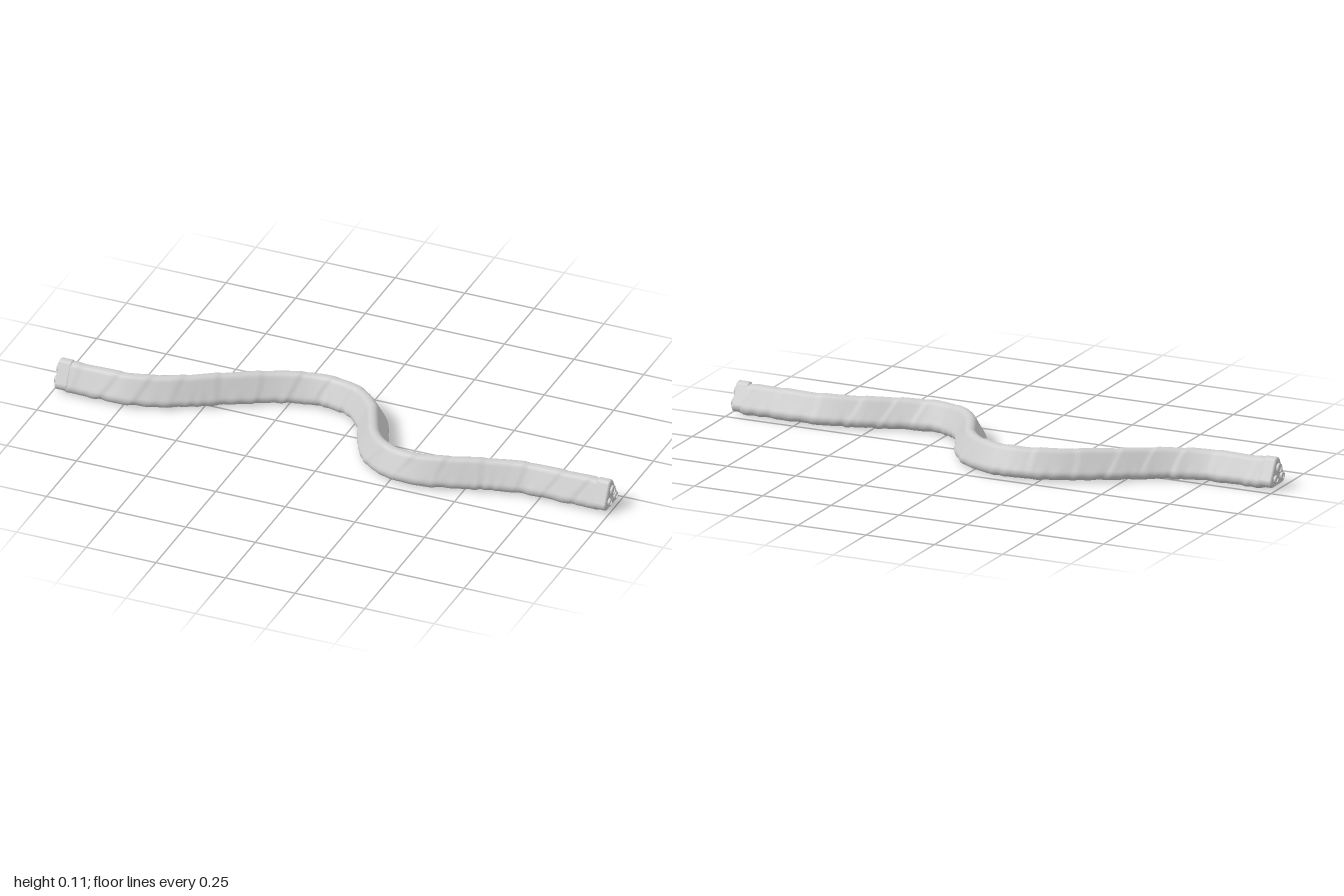
import * as THREE from 'three';

const grey = new THREE.MeshStandardMaterial({ color: 0xcccccc });

// Rounded triangle: half base b, height of the lower and upper corner centres, corner radius r
function roundedTriangle(b, low, high, r) {
  const a = Math.atan2(b, high - low);
  const shape = new THREE.Shape();
  shape.absarc(b, low, r, -Math.PI / 2, a, false);
  shape.absarc(0, high, r, a, Math.PI - a, false);
  shape.absarc(-b, low, r, Math.PI - a, Math.PI * 1.5, false);
  shape.closePath();
  return shape;
}

// S-shaped centre line, as x and z
const path = new THREE.CatmullRomCurve3([
  [-0.98, 0.072], [-0.86, 0.072], [-0.74, 0.068], [-0.61, 0.028], [-0.45, -0.06],
  [-0.28, -0.145], [-0.14, -0.176], [-0.02, -0.15], [0.06, -0.08], [0.1, 0],
  [0.14, 0.08], [0.2, 0.14], [0.3, 0.17], [0.41, 0.153], [0.54, 0.112],
  [0.68, 0.08], [0.82, 0.077], [0.98, 0.077],
].map(([x, z]) => new THREE.Vector3(x, 0, z)));

// Overlapping helical cloth wrap swept along the centre line
function wrapGeometry() {
  const rings = 440, sides = 60, turns = 18, midY = 0.053;
  const profile = roundedTriangle(0.031, 0.03, 0.086, 0.021).getSpacedPoints(sides);
  const positions = [], index = [];
  for (let i = 0; i <= rings; i++) {
    const s = i / rings;
    const p = path.getPointAt(s), t = path.getTangentAt(s);
    const end = Math.min(1, Math.min(s, 1 - s) / 0.014);
    for (let j = 0; j < sides; j++) {
      const a = (j / sides) * Math.PI * 2;
      // each turn rises slowly, then drops at its edge
      const phase = s * turns + j / sides + 0.15 * Math.sin(a + s * 23);
      const f = phase - Math.floor(phase);
      const ledge = f < 0.86 ? f / 0.86 : (1 - f) / 0.14;
      // folds are strongest along the underside
      const under = THREE.MathUtils.clamp((0.07 - profile[j].y) / 0.05, 0.1, 1);
      const fold = under * Math.sin(s * 260 + 2 * a + 3 * Math.sin(s * 31)) * Math.sin(s * 47 + a);
      const k = (1 + 0.05 * (ledge - 0.4) + 0.022 * fold) * (0.8 + 0.2 * end);
      const u = profile[j].x * k, v = midY + (profile[j].y - midY) * k;
      positions.push(p.x + t.z * u, v, p.z - t.x * u);
      if (i < rings) {
        const j2 = (j + 1) % sides;
        const a0 = i * sides + j, b0 = i * sides + j2;
        index.push(a0, b0, b0 + sides, a0, b0 + sides, a0 + sides);
      }
    }
  }
  const g = new THREE.BufferGeometry();
  g.setAttribute('position', new THREE.Float32BufferAttribute(positions, 3));
  g.setIndex(index);
  g.computeVertexNormals();
  return g;
}

// Bevelled triangular end cap with three ringed sockets, facing local +z
function endCap(name) {
  const cap = new THREE.Group();
  cap.name = name;
  const add = (part, geometry, x, y, z) => {
    const mesh = new THREE.Mesh(geometry, grey);
    mesh.name = part;
    mesh.position.set(x, y, z);
    cap.add(mesh);
  };
  const bevel = 0.007;
  add('capBody', new THREE.ExtrudeGeometry(roundedTriangle(0.034, 0.034, 0.093, 0.019), {
    depth: 0.034, bevelEnabled: true, bevelThickness: bevel, bevelSize: bevel,
    bevelOffset: -bevel, bevelSegments: 3, curveSegments: 10,
  }), 0, 0, 0.951);
  for (const [x, y, r] of [[0, 0.075, 0.016], [-0.024, 0.042, 0.013], [0.024, 0.042, 0.013]]) {
    // collar profile: outer wall, flat rim, inner wall
    const collar = [[r, 0], [r, 0.006], [r - 0.001, 0.008], [r - 0.004, 0.008], [r - 0.004, 0]]
      .map(([cx, cy]) => new THREE.Vector2(cx, cy));
    const ring = new THREE.LatheGeometry(collar, 28).toNonIndexed();
    ring.computeVertexNormals();
    add('socketCollar', ring.rotateX(Math.PI / 2), x, y, 0.992);
    add('socketCore', new THREE.CylinderGeometry(r - 0.004, r - 0.004, 0.004, 28).rotateX(Math.PI / 2), x, y, 0.994);
  }
  return cap;
}

export function createModel() {
  const model = new THREE.Group();
  model.name = 'wrappedTriangularTube';

  const wrap = new THREE.Mesh(wrapGeometry(), grey);
  wrap.name = 'wrappedBody';
  model.add(wrap);

  // Matching caps at both ends
  for (const [name, side, z] of [['leftEndCap', 1, 0.08], ['rightEndCap', -1, 0.072]]) {
    const cap = endCap(name);
    cap.rotation.y = side * Math.PI / 2;
    cap.position.z = z;
    model.add(cap);
  }
  return model;
}
